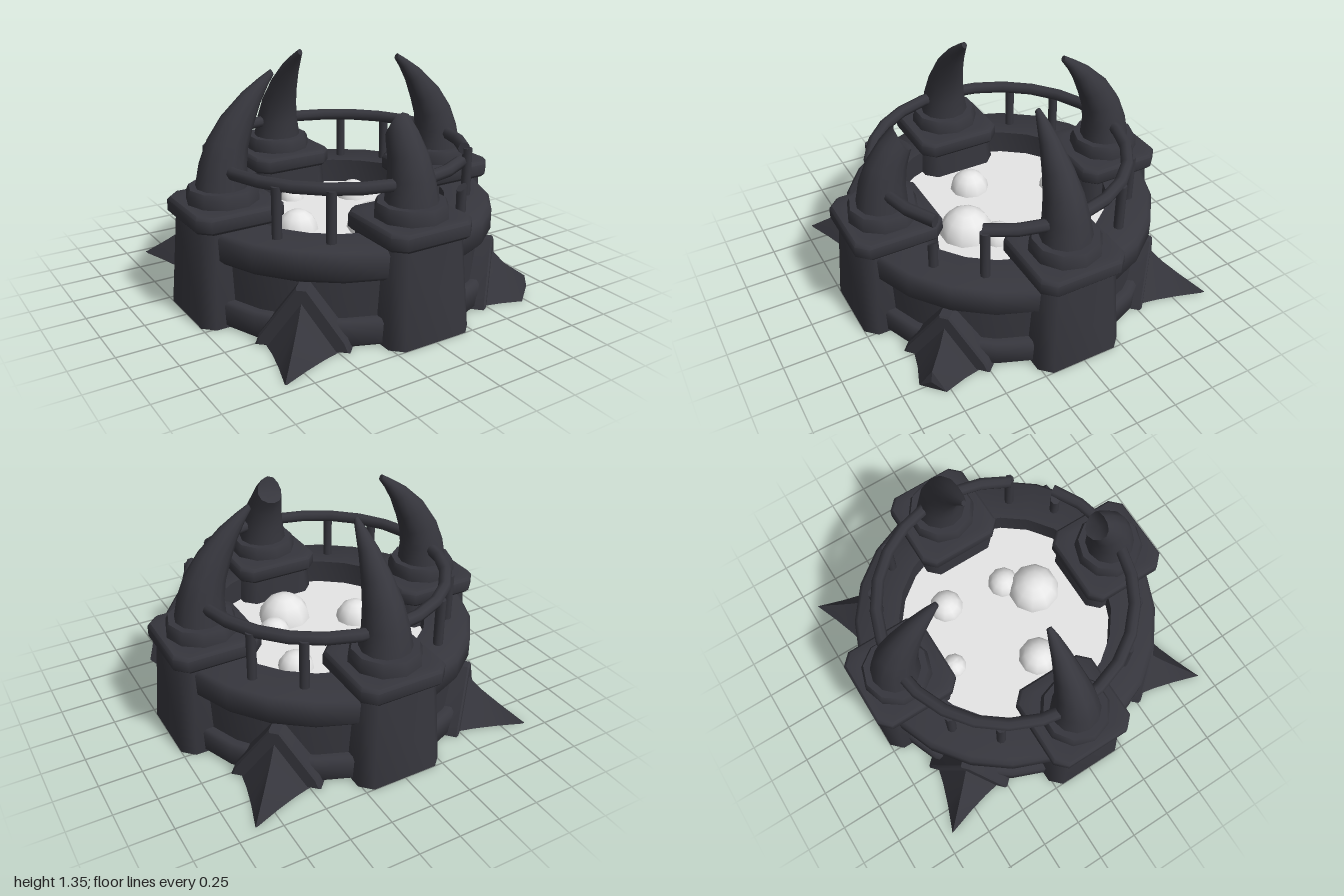
import * as THREE from 'three';
import { toCreasedNormals } from 'three/addons/utils/BufferGeometryUtils.js';

const stone = new THREE.MeshStandardMaterial({ color: 0x36363d, side: THREE.DoubleSide });
stone.name = 'dark stone';
const liquid = new THREE.MeshStandardMaterial({ color: 0xe6e6e6, side: THREE.DoubleSide });
liquid.name = 'pale liquid';
const rad = THREE.MathUtils.degToRad;

function add(parent, name, geometry, material = stone, crease = 0.9) {
  const mesh = new THREE.Mesh(toCreasedNormals(geometry, crease), material);
  mesh.name = name;
  parent.add(mesh);
  return mesh;
}

// Skin over a list of cross-sections; the end can be closed at a given centre point
function loft(sections, endPoint) {
  const n = sections[0].length, pos = [], index = [];
  sections.forEach(s => s.forEach(p => pos.push(...p)));
  for (let i = 0; i < sections.length - 1; i++) {
    for (let j = 0; j < n; j++) {
      const a = i * n + j, b = i * n + (j + 1) % n;
      index.push(a, b, b + n, a, b + n, a + n);
    }
  }
  if (endPoint) {
    const last = (sections.length - 1) * n;
    pos.push(...endPoint);
    for (let j = 0; j < n; j++) index.push(last + j, last + (j + 1) % n, sections.length * n);
  }
  const g = new THREE.BufferGeometry();
  g.setAttribute('position', new THREE.Float32BufferAttribute(pos, 3));
  g.setIndex(index);
  g.computeVertexNormals();
  return g;
}

// Square with cut corners, lying flat at height y
function octagon(y, h, cz, c = 0.065) {
  const k = h - c;
  return [[k, h], [h, k], [h, -k], [k, -h], [-k, -h], [-h, -k], [-h, k], [-k, h]]
    .map(([x, z]) => [x, y, cz + z]).reverse();
}

// Curved piece of wall between two pillars, from an outline of [radius, y]
function wallArc(points) {
  return new THREE.LatheGeometry(points.map(p => new THREE.Vector2(...p)), 4, rad(14), rad(62));
}

function bandOutline(r0, r1, y0, y1, b) {
  return [[r0, y0], [r1 - b, y0], [r1, y0 + b], [r1, y1 - b], [r1 - b, y1], [r0, y1], [r0, y0]];
}

// Horn sections: outer radius, outer y, inner radius, inner y, half width, dent of the broken end
const HORN = [
  [0.9, 0.72, 0.6, 0.72, 0.15], [0.872, 0.86, 0.605, 0.84, 0.127], [0.82, 0.99, 0.59, 0.94, 0.107],
  [0.733, 1.115, 0.555, 1.04, 0.083], [0.6, 1.237, 0.505, 1.165, 0.055],
  [0.5, 1.303, 0.455, 1.255, 0.034], [0.43, 1.345, 0.415, 1.31, 0.015]];
const BROKEN_HORN = [...HORN.slice(0, 3), [0.73, 1.11, 0.572, 1.0, 0.09], [0.65, 1.185, 0.553, 1.04, 0.08, 0.022]];

function horn(rows, sink) {
  const sections = rows.map(([ro, yo, ri, yi, w, dent = 0]) => Array.from({ length: 12 }, (_, j) => {
    const a = j / 12 * Math.PI * 2, t = (1 + Math.cos(a)) / 2, d = 4 * t * (1 - t) * dent;
    return [Math.sin(a) * w, yi + (yo - yi) * t - d, ri + (ro - ri) * t + d];
  }));
  const [ro, yo, ri, yi] = rows[rows.length - 1];
  return loft(sections, [0, (yo + yi) / 2 - sink, (ro + ri) / 2 + sink]);
}

// Spike sections: radius, half width, ridge height
const SPIKE = [[0.92, 0.205, 0.29], [1.02, 0.14, 0.195], [1.14, 0.075, 0.11], [1.285, 0.006, 0.015]];
const BROKEN_SPIKE = [SPIKE[0], SPIKE[1], [1.14, 0.08, 0.13]];

function spike(rows) {
  const sections = rows.map(([r, w, h]) => [[-w, 0, r], [w, 0, r], [0, h, r]]);
  const [r, , h] = rows[rows.length - 1];
  return loft(sections, [0, h / 2, r + 0.015]);
}

export function createModel() {
  const model = new THREE.Group();
  model.name = 'horned well';

  for (let i = 0; i < 4; i++) {
    // Wall with its two bands, one piece between each pair of pillars
    const section = new THREE.Group();
    section.name = 'wallSection';
    section.rotation.y = i * Math.PI / 2;
    add(section, 'wall', wallArc([[0.86, 0.02], [0.86, 0.42]]));
    add(section, 'baseBand', wallArc(bandOutline(0.85, 0.92, 0, 0.15, 0.02)));
    add(section, 'rimBand', wallArc(bandOutline(0.65, 0.925, 0.37, 0.54, 0.025)));
    model.add(section);

    // Pillar with a cap, a collar and a horn; the front horn is snapped
    const pillar = new THREE.Group();
    pillar.name = 'pillar';
    pillar.rotation.y = i * Math.PI / 2;
    add(pillar, 'pillarShaft', loft([octagon(0, 0.265, 0.735), octagon(0.57, 0.232, 0.73)]));
    const cap = [[0.55, 0.2], [0.55, 0.25], [0.567, 0.264], [0.632, 0.264], [0.65, 0.25], [0.65, 0.2]];
    add(pillar, 'pillarCap', loft(cap.map(([y, h]) => octagon(y, h, 0.735)), [0, 0.65, 0.735]));
    const collar = new THREE.LatheGeometry(
      [[0.208, 0.64], [0.205, 0.7], [0.19, 0.73], [0, 0.73]].map(p => new THREE.Vector2(...p)), 10);
    add(pillar, 'collar', collar.translate(0, 0, 0.748));
    add(pillar, i ? 'horn' : 'brokenHorn', i ? horn(HORN, 0) : horn(BROKEN_HORN, 0.03));
    model.add(pillar);
  }

  // Diagonal spikes with triangular mounts; the front left one is snapped
  const plate = new THREE.Shape([[-0.245, 0.01], [0.245, 0.01], [0.225, 0.06], [0.025, 0.34], [-0.025, 0.34], [-0.225, 0.06]]
    .map(p => new THREE.Vector2(...p)));
  for (const sx of [1, -1]) {
    for (const sz of [1, -1]) {
      const mount = new THREE.Group();
      mount.name = 'spikeMount';
      mount.rotation.y = Math.atan2(sx * 0.88, sz * 0.94);
      const g = new THREE.ExtrudeGeometry(plate,
        { depth: 0.1, bevelSize: 0.01, bevelThickness: 0.01, bevelSegments: 1 });
      add(mount, 'mountPlate', g.translate(0, 0, 0.835), stone, 0.3);
      const broken = sx > 0 && sz > 0;
      add(mount, broken ? 'brokenSpike' : 'spike', spike(broken ? BROKEN_SPIKE : SPIKE), stone, 0.4);
      model.add(mount);
    }
  }

  // Handrail with a gap at the front left
  const rail = new THREE.TorusGeometry(0.753, 0.037, 8, 24, rad(340));
  add(model, 'handrail', rail.rotateZ(rad(55)).rotateX(Math.PI / 2).translate(0, 0.83, 0));
  for (const a of [rad(35), rad(55)]) {
    const end = add(model, 'railEnd', new THREE.CircleGeometry(0.037, 8));
    end.position.set(Math.cos(a) * 0.753, 0.83, Math.sin(a) * 0.753);
    end.rotation.y = -a;
  }

  // Rail posts, two in each quarter, one of them broken short with a slanted top
  for (let q = 0; q < 4; q++) {
    for (const d of [34, 56]) {
      const a = rad(d + q * 90), short = q === 0 && d === 56, h = short ? 0.17 : 0.3;
      const g = new THREE.CylinderGeometry(0.029, 0.029, h, 8).translate(0, h / 2, 0);
      if (short) {
        const p = g.attributes.position;
        for (let i = 0; i < p.count; i++) if (p.getY(i) > 0.1) p.setY(i, h - 0.015 + p.getX(i) * 0.7);
      }
      add(model, short ? 'brokenPost' : 'post', g)
        .position.set(Math.cos(a) * 0.773, 0.53, Math.sin(a) * 0.773);
    }
  }

  // Liquid surface with half-sunk bubbles
  add(model, 'liquid', new THREE.CircleGeometry(0.67, 24).rotateX(-Math.PI / 2).translate(0, 0.39, 0), liquid);
  for (const [x, z, r] of [[-0.3, 0.05, 0.122], [0.285, -0.26, 0.107], [-0.075, -0.42, 0.077],
    [0.23, 0.13, 0.1], [0.09, 0.27, 0.162]]) {
    const dome = new THREE.SphereGeometry(r, 10, 4, 0, Math.PI * 2, 0, Math.PI / 2);
    add(model, 'bubble', dome, liquid).position.set(x, 0.385, z);
  }
  return model;
}
